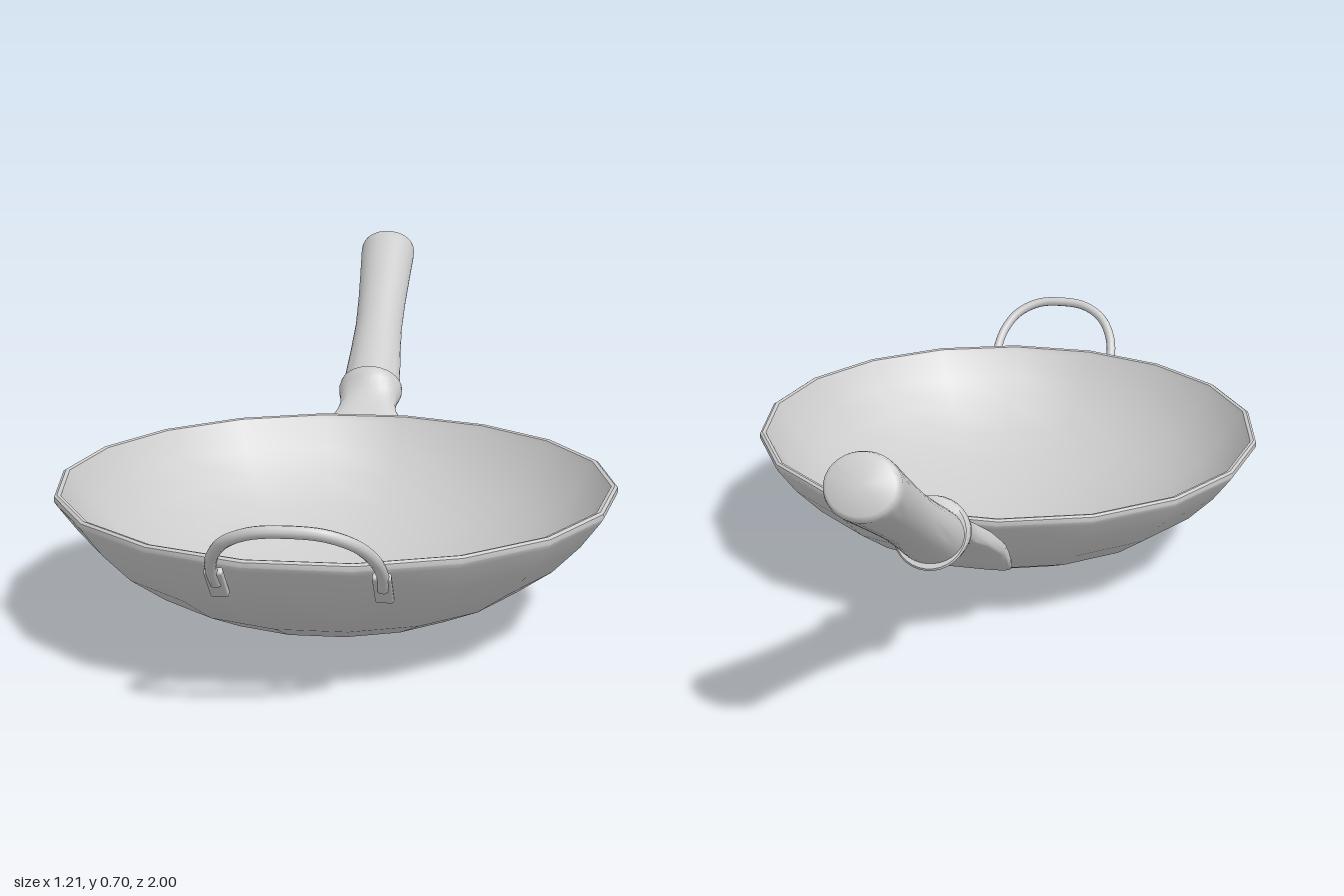
import * as THREE from 'three';
import { mergeVertices, toCreasedNormals } from 'three/addons/utils/BufferGeometryUtils.js';
import { RoundedBoxGeometry } from 'three/addons/geometries/RoundedBoxGeometry.js';

const material = new THREE.MeshStandardMaterial({ color: 0xcccccc });

function addMesh(parent, name, geometry) {
  const mesh = new THREE.Mesh(geometry, material);
  mesh.name = name;
  parent.add(mesh);
  return mesh;
}

// Loft through sections [z, y, halfWidth, halfThickness, tilt, squareness] running backwards
function loft(sections, sides = 32) {
  const positions = [], index = [];
  const first = sections[0], last = sections[sections.length - 1];
  const close = (s) => [s[0], s[1], 0, 0, s[4], s[5]];
  const rings = [close(first), ...sections, close(last)];
  const bend = (v, e) => Math.sign(v) * Math.pow(Math.abs(v), 2 / e);
  rings.forEach(([z, y, w, h, tilt, e], i) => {
    for (let j = 0; j < sides; j++) {
      const t = (j / sides) * Math.PI * 2;
      const u = bend(Math.cos(t), e) * w, v = bend(Math.sin(t), e) * h;
      positions.push(u, y + v * Math.cos(tilt), z + v * Math.sin(tilt));
      if (i === rings.length - 1) continue;
      const a = i * sides + j, b = i * sides + ((j + 1) % sides);
      index.push(a, a + sides, b, b, a + sides, b + sides);
    }
  });
  const geometry = new THREE.BufferGeometry();
  geometry.setAttribute('position', new THREE.Float32BufferAttribute(positions, 3));
  geometry.setIndex(index);
  return toCreasedNormals(geometry, 0.8);
}

export function createModel() {
  const group = new THREE.Group();

  // Eighteen-sided bowl: outer wall, rolled rim, inner wall
  const outer = [[0, 0], [0.12, 0.01], [0.23, 0.036], [0.33, 0.073], [0.42, 0.117], [0.5, 0.175], [0.56, 0.238], [0.6, 0.293]];
  const rim = [[0.607, 0.304], [0.606, 0.314], [0.6, 0.318], [0.592, 0.316], [0.586, 0.305]];
  const inner = [[0.548, 0.246], [0.489, 0.185], [0.412, 0.129], [0.325, 0.086], [0.227, 0.049], [0.118, 0.023], [0, 0.013]];
  const profile = [...outer, ...rim, ...inner].map(([r, y]) => new THREE.Vector2(r, y));
  const bowl = new THREE.LatheGeometry(profile, 18, Math.PI / 18);
  bowl.deleteAttribute('uv');
  bowl.deleteAttribute('normal');
  addMesh(group, 'bowl', toCreasedNormals(mergeVertices(bowl), 0.7)).position.z = 0.27;

  // Flat bracket that narrows to a neck and flares into a round ferrule
  addMesh(group, 'handleBracket', loft([
    [-0.228, 0.165, 0.112, 0.01, 0.78, 5],
    [-0.234, 0.171, 0.118, 0.016, 0.78, 5],
    [-0.27, 0.208, 0.119, 0.017, 0.78, 5],
    [-0.305, 0.243, 0.118, 0.019, 0.78, 4.5],
    [-0.345, 0.281, 0.098, 0.024, 0.7, 4],
    [-0.378, 0.306, 0.076, 0.028, 0.5, 3.3],
    [-0.405, 0.32, 0.07, 0.033, 0.4, 2.7],
    [-0.43, 0.331, 0.073, 0.046, 0.45, 2.3],
    [-0.455, 0.34, 0.079, 0.066, 0.52, 2],
    [-0.472, 0.345, 0.081, 0.076, 0.57, 2],
    [-0.489, 0.349, 0.08, 0.079, 0.57, 2],
    [-0.493, 0.351, 0.076, 0.075, 0.57, 2],
  ]));

  // Round grip, slightly waisted, with a softened end
  const grip = [
    [0, 0.073, 0.061], [0.1, 0.071, 0.06], [0.25, 0.066, 0.057], [0.42, 0.062, 0.056],
    [0.6, 0.064, 0.058], [0.8, 0.069, 0.062], [0.94, 0.073, 0.065], [0.975, 0.073, 0.065],
    [0.992, 0.07, 0.062], [1, 0.064, 0.056],
  ].map(([t, w, h]) => [-0.485 - 0.481 * t, 0.342 + 0.307 * t, w, h, 0.57, 2]);
  addMesh(group, 'grip', loft(grip));

  // Leaning wire loop at the front
  const half = [[0.157, 0.265], [0.159, 0.305], [0.148, 0.345], [0.118, 0.383], [0.065, 0.408]];
  const onLoop = (x, y) => new THREE.Vector3(x, y, 0.988 - (0.414 - y) * 0.98);
  const path = new THREE.CatmullRomCurve3([
    ...half.map(([x, y]) => onLoop(-x, y)),
    onLoop(0, 0.414),
    ...half.slice().reverse().map(([x, y]) => onLoop(x, y)),
  ]);
  addMesh(group, 'frontLoop', new THREE.TubeGeometry(path, 48, 0.012, 10));

  // Flattened feet that join the loop to the bowl
  for (const side of [-1, 1]) {
    const foot = addMesh(group, side > 0 ? 'leftLoopFoot' : 'rightLoopFoot', new RoundedBoxGeometry(0.036, 0.1, 0.016, 2, 0.005));
    foot.position.set(side * 0.157, 0.265, 0.84);
    foot.rotation.x = 0.78;
  }
  return group;
}
